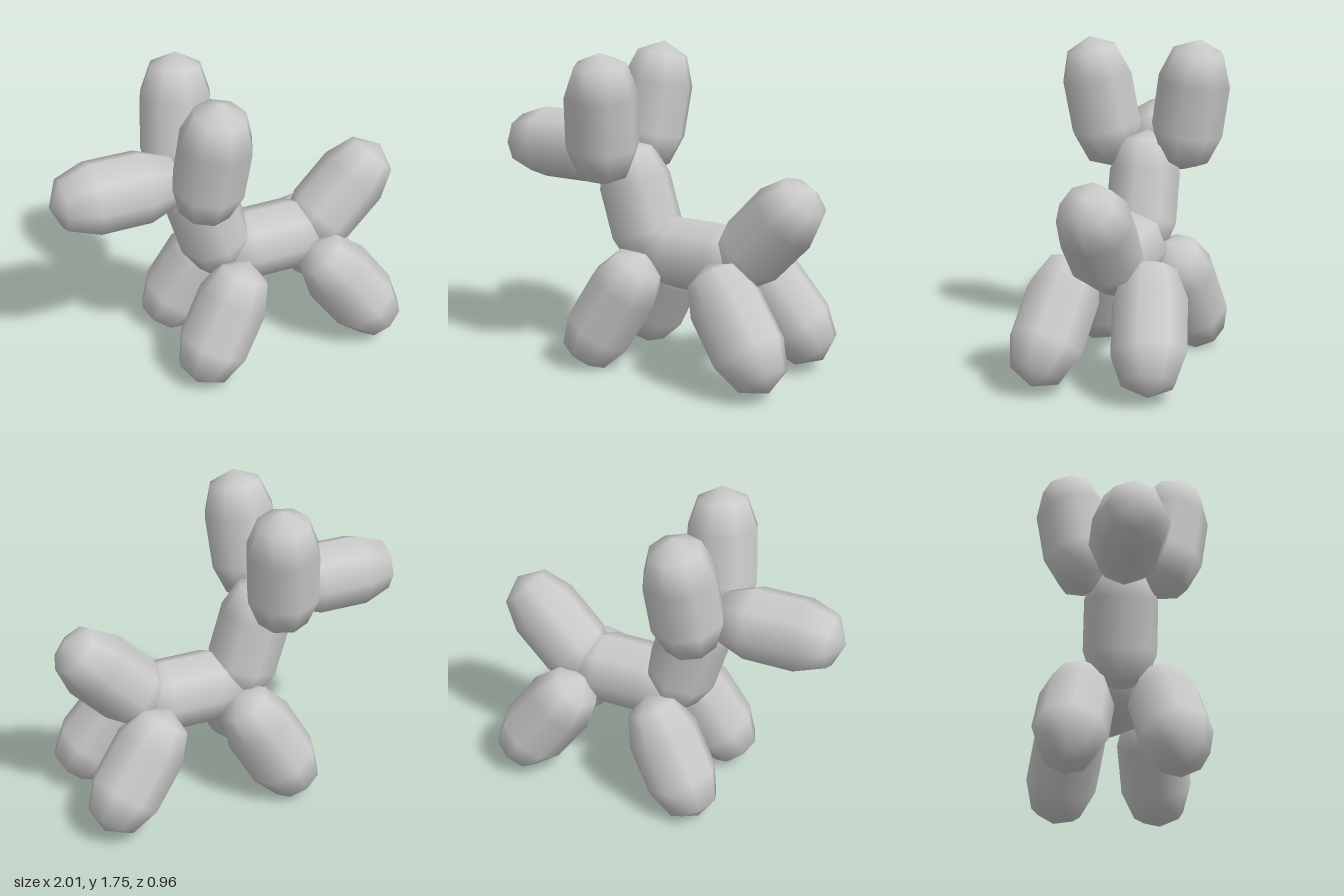
import * as THREE from 'three';

export function createModel() {
  const model = new THREE.Group();
  const material = new THREE.MeshStandardMaterial({ color: 0xcccccc });

  // One eight-sided balloon, slightly stretched, reused for every part
  const balloon = new THREE.CapsuleGeometry(0.203, 0.245, 2, 8);
  balloon.scale(1, 1.154, 1);

  const up = new THREE.Vector3(0, 1, 0);
  function addBalloon(name, center, direction) {
    const mesh = new THREE.Mesh(balloon, material);
    mesh.name = name;
    mesh.position.set(...center);
    mesh.quaternion.setFromUnitVectors(up, new THREE.Vector3(...direction).normalize());
    model.add(mesh);
  }

  // Balloons along the middle
  const midZ = -0.005;
  addBalloon('snout', [-0.625, 1.185, midZ], [-1, 0, 0]);
  addBalloon('neck', [-0.11, 0.893, midZ], [-0.29, 0.956, 0]);
  addBalloon('body', [0.262, 0.655, midZ], [1, 0, 0]);
  addBalloon('tail', [0.692, 0.836, midZ], [0.69, 0.724, 0]);

  // Mirrored pairs: ears splay outward at the top, legs at the foot
  for (const [side, s] of [['near', 1], ['far', -1]]) {
    addBalloon(side + 'Ear', [-0.19, 1.403, s * 0.256], [0.032, 0.368, s * 0.06]);
    addBalloon(side + 'FrontLeg', [-0.131, 0.356, s * 0.256], [0.184, 0.326, -s * 0.055]);
    addBalloon(side + 'HindLeg', [0.66, 0.382, s * 0.256], [-0.225, 0.303, -s * 0.055]);
  }
  return model;
}
